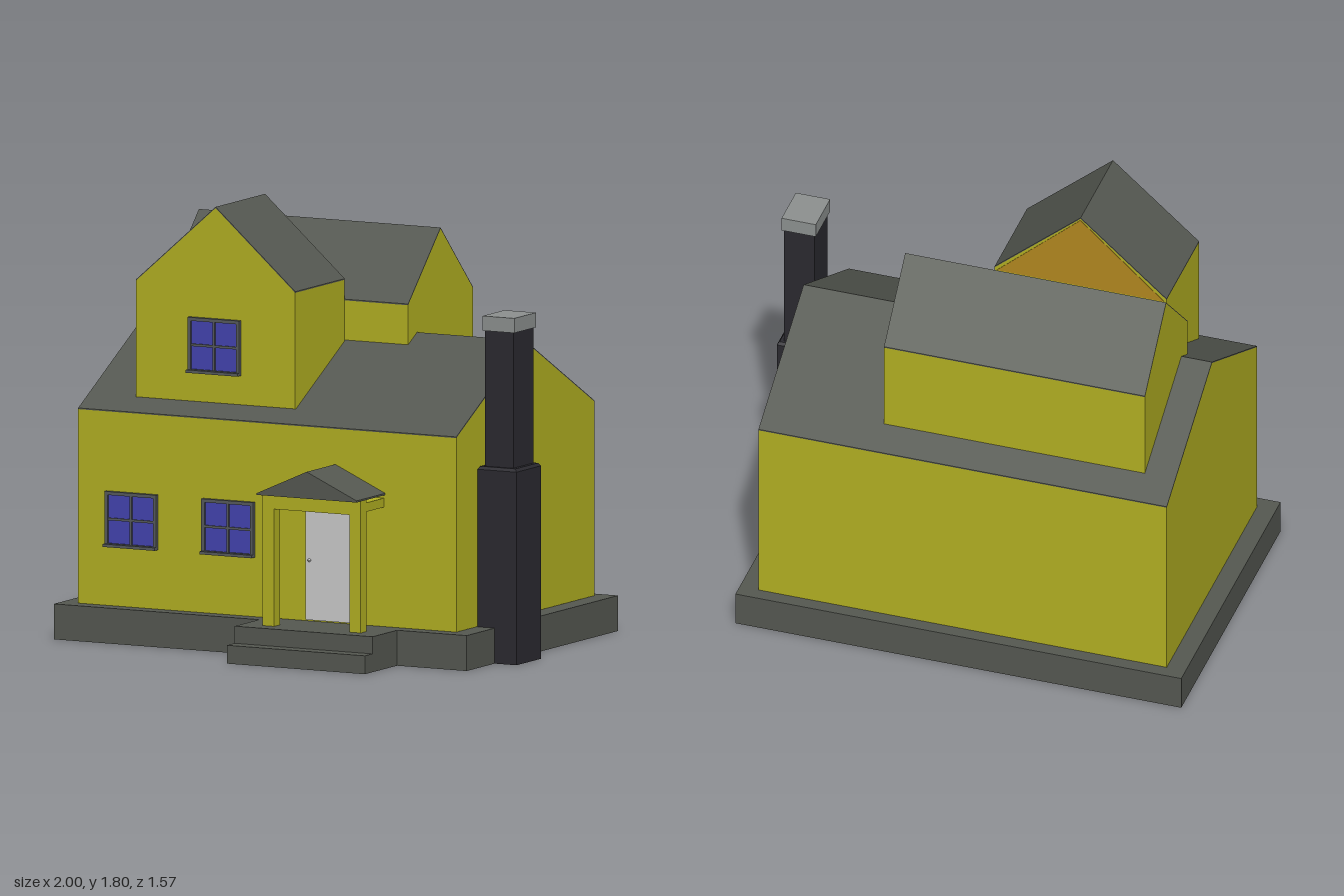
import * as THREE from 'three';

const mat = (color) => new THREE.MeshStandardMaterial({ color, flatShading: true });
const YELLOW = mat(0xb2b022), STONE = mat(0x555851), BRICK = mat(0x2b2a30), CAP = mat(0x8d9190);
const GLASS = mat(0x4343b0), FRAME = mat(0x565a5c), DOOR = mat(0xcccccc), ORANGE = mat(0xb28820);
const SHELL = mat(0x555851);
SHELL.side = THREE.DoubleSide;

export function createModel() {
  const house = new THREE.Group();
  house.name = 'house';

  const add = (name, geometry, material, parent = house) => {
    const mesh = new THREE.Mesh(geometry, material);
    mesh.name = name;
    parent.add(mesh);
    return mesh;
  };

  // Box given by its limits on each axis
  const box = (name, material, [x0, x1], [y0, y1], [z0, z1], parent) => {
    const g = new THREE.BoxGeometry(x1 - x0, y1 - y0, z1 - z0);
    g.translate((x0 + x1) / 2, (y0 + y1) / 2, (z0 + z1) / 2);
    return add(name, g, material, parent);
  };

  // Slab open underneath: walls round an [x, z] outline and a top plate
  const shell = (name, outline, top) => {
    const group = new THREE.Group();
    group.name = name;
    house.add(group);
    const verts = [];
    outline.forEach(([ax, az], i) => {
      const [bx, bz] = outline[(i + 1) % outline.length];
      verts.push(ax, 0, az, bx, 0, bz, bx, top, bz, ax, 0, az, bx, top, bz, ax, top, az);
    });
    const walls = new THREE.BufferGeometry();
    walls.setAttribute('position', new THREE.Float32BufferAttribute(verts, 3));
    walls.computeVertexNormals();
    add('slabWalls', walls, SHELL, group);
    const plate = new THREE.ShapeGeometry(new THREE.Shape(outline.map(([x, z]) => new THREE.Vector2(x, -z))));
    plate.rotateX(-Math.PI / 2);
    plate.translate(0, top, 0);
    add('slabTop', plate, SHELL, group);
  };

  // Extrude a closed outline along z, or along x when the ridge runs sideways
  const prism = (points, [from, to], alongX) => {
    const shape = new THREE.Shape(points.map(([a, b]) => new THREE.Vector2(a, b)));
    const g = new THREE.ExtrudeGeometry(shape, { depth: to - from, bevelEnabled: false });
    g.translate(0, 0, from);
    if (alongX) g.rotateY(Math.PI / 2);
    return g;
  };

  // Gabled block: walls with a thin roof skin; a0..a1 is the gable width
  const gable = (name, wall, [a0, a1], [base, eave, ridge], span, alongX) => {
    const group = new THREE.Group();
    group.name = name;
    house.add(group);
    const mid = (a0 + a1) / 2, t = 0.005;
    add('walls', prism([[a0, base], [a1, base], [a1, eave - t], [mid, ridge - t], [a0, eave - t]],
      span, alongX), wall, group);
    add('roof', prism([[a0, eave - t], [mid, ridge - t], [a1, eave - t], [a1, eave], [mid, ridge], [a0, eave]],
      span, alongX), STONE, group);
  };

  // Foundation with porch platform, and the lower step
  shell('foundation', [[-1, 0.51], [-0.055, 0.51], [-0.055, 0.72], [0.58, 0.72], [0.58, 0.51],
    [0.9, 0.51], [0.9, -0.785], [-1, -0.785]], 0.145);
  shell('lowerStep', [[-0.055, 0.785], [0.58, 0.785], [0.58, 0.72], [-0.055, 0.72]], 0.075);

  // House body and dormers (a sideways gable is measured along -z)
  gable('mainHouse', YELLOW, [-0.45, 0.73], [0.146, 0.945, 1.265], [-0.92, 0.82], true);
  gable('rearDormer', YELLOW, [0.063, 0.617], [0.98, 1.39, 1.668], [-0.79, 0.322], true);
  gable('frontDormer', YELLOW, [-0.7, 0.033], [0.995, 1.475, 1.797], [-0.058, 0.365], false);
  add('dormerBackGable', prism([[-0.69, 1.46], [0.023, 1.46], [-0.333, 1.785]], [-0.06, -0.057]), ORANGE);

  // Porch
  gable('porchRoof', STONE, [0.033, 0.493], [0.685, 0.692, 0.795], [0.45, 0.695], false);
  box('porchHeader', YELLOW, [0.037, 0.488], [0.625, 0.685], [0.6, 0.65]);
  for (const x of [0.037, 0.436]) {
    box('porchPost', YELLOW, [x, x + 0.052], [0.145, 0.685], [0.6, 0.65]);
    box('porchSideBeam', YELLOW, [x, x + 0.052], [0.635, 0.672], [0.45, 0.6]);
  }

  // Door and knob
  box('door', DOOR, [0.143, 0.377], [0.155, 0.612], [0.45, 0.483]);
  const knob = add('doorKnob', new THREE.SphereGeometry(0.007, 10, 8), DOOR);
  knob.position.set(0.163, 0.4, 0.486);

  // Windows: frame border, cross bars, glass and a projecting sill
  const makeWindow = (x, y, z) => {
    const group = new THREE.Group();
    group.name = 'window';
    group.position.set(x, y, z);
    house.add(group);
    const w = 0.119, h = 0.113, b = 0.014, d = 0.018;
    box('glass', GLASS, [-w + b, w - b], [-h + b, h - b], [0, 0.008], group);
    for (const s of [-1, 1]) {
      box('frameSide', FRAME, [s * (w - b / 2) - b / 2, s * (w - b / 2) + b / 2], [-h, h], [0, d], group);
      box('frameRail', FRAME, [-w + b, w - b], [s * (h - b / 2) - b / 2, s * (h - b / 2) + b / 2], [0, d], group);
    }
    box('verticalBar', FRAME, [-0.005, 0.005], [-h + b, h - b], [0, 0.014], group);
    box('horizontalBar', FRAME, [-w + b, w - b], [-0.005, 0.005], [0, 0.014], group);
    box('sill', FRAME, [-w, w], [-h, -h + 0.012], [d, 0.032], group);
  };
  makeWindow(-0.671, 0.502, 0.45);
  makeWindow(-0.225, 0.502, 0.45);
  makeWindow(-0.335, 1.227, 0.365);

  // Chimney with a bevelled shoulder and cap
  box('chimneyBase', BRICK, [0.82, 1], [0, 0.79], [0.06, 0.27]);
  const shoulder = new THREE.BoxGeometry(0.18, 0.012, 0.21);
  const p = shoulder.attributes.position;
  for (let i = 0; i < p.count; i++) {
    if (p.getY(i) > 0) p.setXYZ(i, p.getX(i) * 0.9, p.getY(i), p.getZ(i) * 0.92);
  }
  shoulder.computeVertexNormals();
  add('chimneyShoulder', shoulder, BRICK).position.set(0.91, 0.796, 0.165);
  box('chimneyStack', BRICK, [0.845, 0.975], [0.8, 1.36], [0.08, 0.25]);
  box('chimneyCap', CAP, [0.837, 0.983], [1.357, 1.417], [0.07, 0.257]);

  return house;
}
